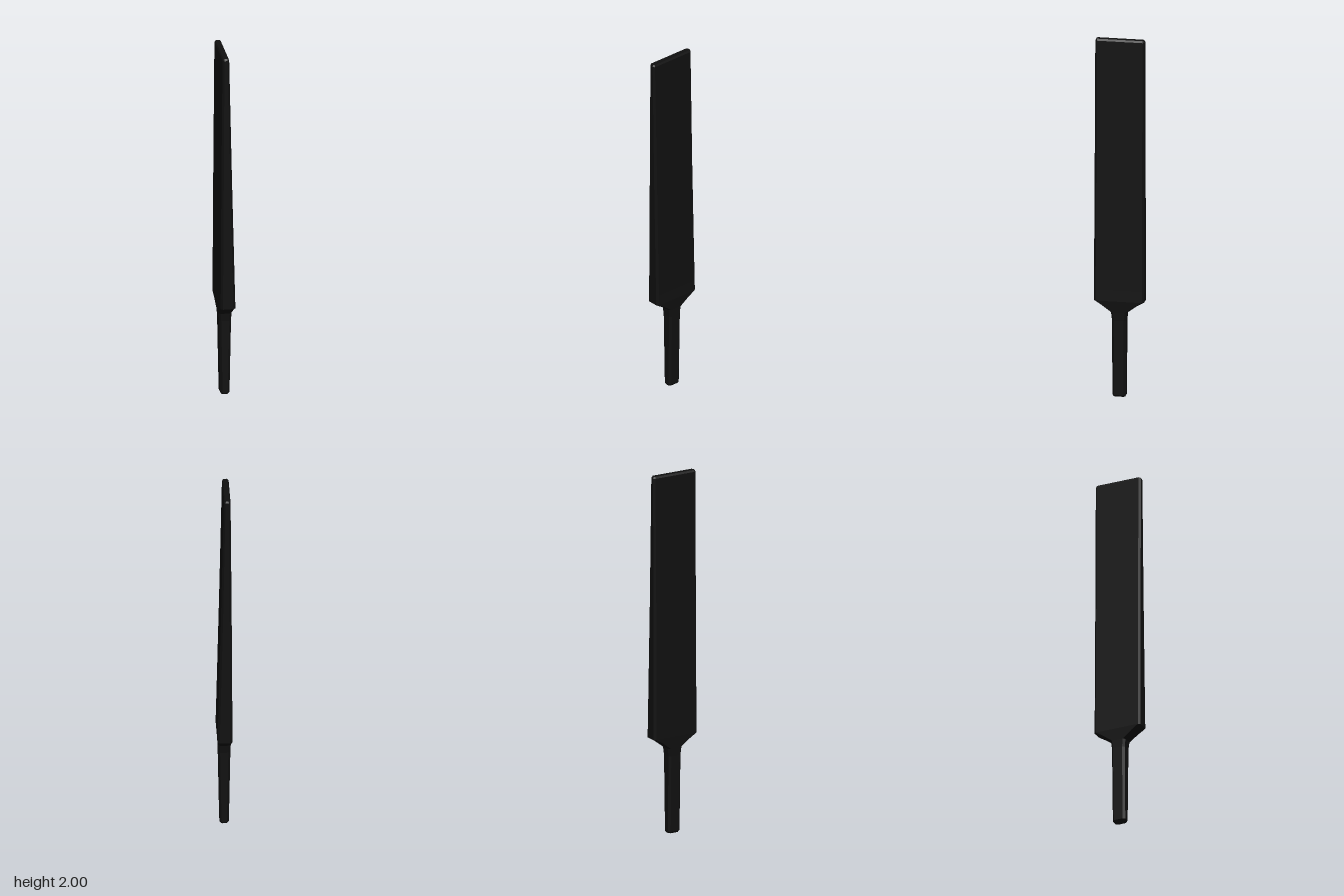
import * as THREE from 'three';

const material = new THREE.MeshStandardMaterial({ color: 0x101010, flatShading: true });

// Rectangle with chamfered corners, running from +x towards +z
function ring([y, x0, x1, z0, z1, c]) {
  return [
    [x1, z0 + c], [x1, z1 - c], [x1 - c, z1], [x0 + c, z1],
    [x0, z1 - c], [x0, z0 + c], [x0 + c, z0], [x1 - c, z0],
  ].map(([x, z]) => [x, y, z]);
}

// Skin a stack of sections, listed from bottom to top
function loft(name, sections, capBottom, capTop) {
  const rings = sections.map(ring);
  const n = rings[0].length;
  const pos = [];
  for (let i = 0; i < rings.length - 1; i++) {
    for (let j = 0; j < n; j++) {
      const k = (j + 1) % n;
      const a = rings[i][j], b = rings[i][k], c = rings[i + 1][j], d = rings[i + 1][k];
      pos.push(...a, ...c, ...b, ...b, ...c, ...d);
    }
  }
  const top = rings[rings.length - 1], bottom = rings[0];
  for (let j = 1; j < n - 1; j++) {
    if (capTop) pos.push(...top[0], ...top[j + 1], ...top[j]);
    if (capBottom) pos.push(...bottom[0], ...bottom[j], ...bottom[j + 1]);
  }
  const geometry = new THREE.BufferGeometry();
  geometry.setAttribute('position', new THREE.Float32BufferAttribute(pos, 3));
  geometry.computeVertexNormals();
  const mesh = new THREE.Mesh(geometry, material);
  mesh.name = name;
  return mesh;
}

export function createModel() {
  const group = new THREE.Group();
  group.name = 'paddleBlade';

  // Sections: y, x min, x max, z min, z max, corner chamfer
  const shoulderTop = [0.54, -0.04, 0.04, -0.136, 0.137, 0.011];
  const handleTop = [0.43, -0.033, 0.033, -0.036, 0.04, 0.011];

  // Slim handle with a bevelled foot
  group.add(loft('handle', [
    [0, -0.018, 0.018, -0.029, 0.033, 0.008],
    [0.01, -0.025, 0.025, -0.035, 0.039, 0.011],
    handleTop,
  ], true, false));

  // Flared shoulder joining handle and blade
  group.add(loft('shoulder', [
    handleTop,
    [0.475, -0.035, 0.035, -0.041, 0.045, 0.011],
    [0.515, -0.038, 0.038, -0.094, 0.098, 0.011],
    shoulderTop,
  ], false, false));

  // Flat blade, thinning mostly on one face, with a bevelled tip
  group.add(loft('blade', [
    shoulderTop,
    [0.6, -0.04, 0.038, -0.136, 0.137, 0.011],
    [1.3, -0.036, 0.021, -0.134, 0.136, 0.011],
    [1.99, -0.03, 0.006, -0.133, 0.135, 0.009],
    [2, -0.025, 0.001, -0.128, 0.13, 0.006],
  ], false, true));

  return group;
}
